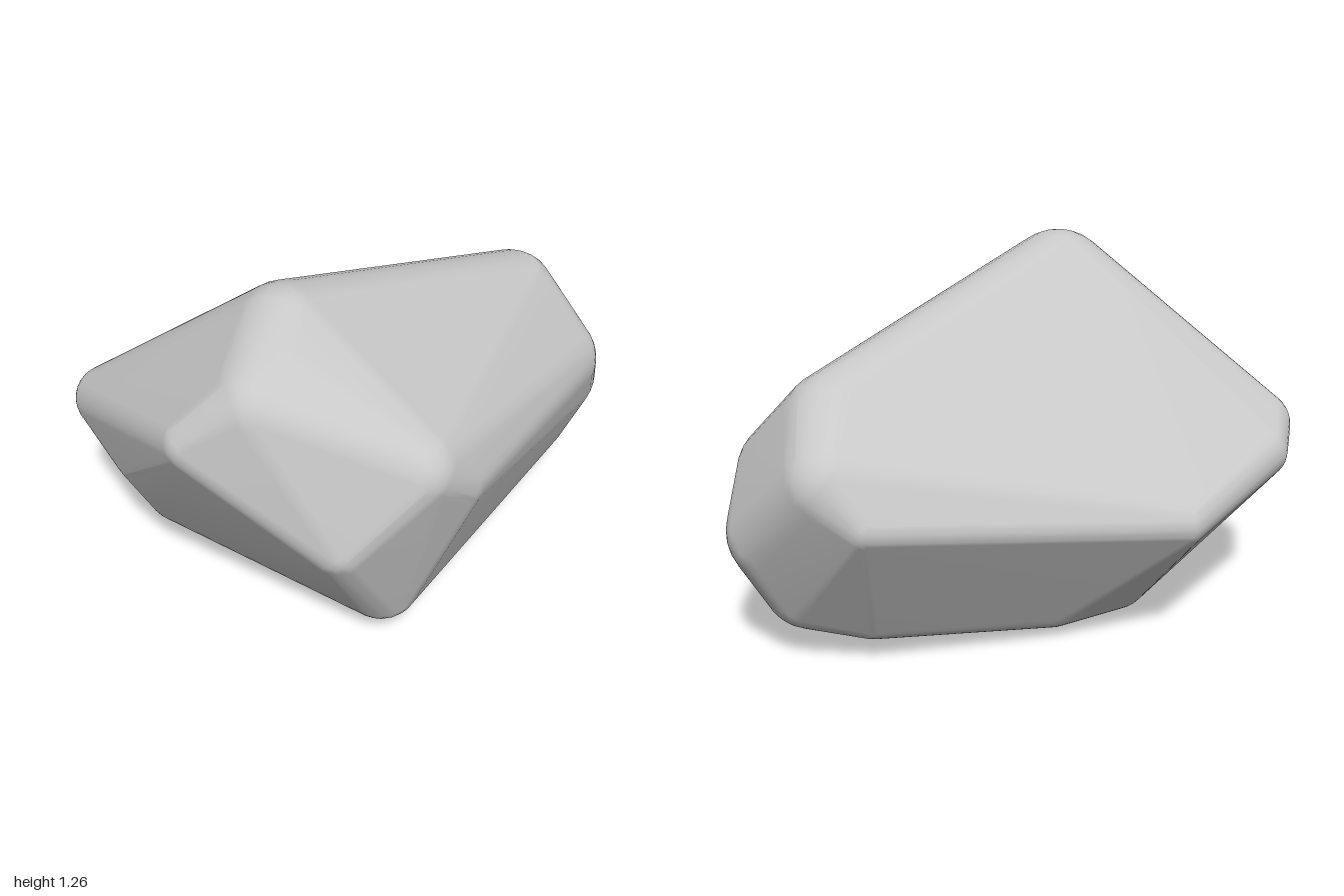
import * as THREE from 'three';
import { ConvexGeometry } from 'three/addons/geometries/ConvexGeometry.js';
import { mergeVertices } from 'three/addons/utils/BufferGeometryUtils.js';

// Balls that round the corners of the boulder: [x, y, z, radius]
const CORNERS = [
  // peak and sloping top face
  [-0.28, 1.065, 0.25, 0.2], [-0.32, 0.985, 0.38, 0.22], [-0.4, 1.0, 0.48, 0.16],
  [0.643, 0.778, -0.387, 0.18], [0.7, 0.67, -0.59, 0.15],
  [0.62, 0.57, -0.705, 0.08], [-0.4, 0.46, -0.67, 0.08],
  [-0.82, 0.56, -0.36, 0.1], [-0.88, 0.61, -0.22, 0.12],
  // front faces
  [-0.602, 0.885, 0.468, 0.1], [0.06, 0.82, 0.63, 0.14],
  [0.17, 0.72, 0.55, 0.14], [-0.18, 0.59, 0.66, 0.12],
  // left flank
  [-0.76, 0.47, -0.05, 0.12], [-0.65, 0.295, -0.07, 0.14],
  // right end
  [0.769, 0.59, -0.227, 0.18], [0.82, 0.44, -0.34, 0.18],
  [0.738, 0.254, -0.33, 0.16],
  // underside
  [-0.01, 0.2, 0.45, 0.14], [0.57, 0.145, -0.26, 0.14],
  [0.55, 0.185, -0.41, 0.12], [-0.05, 0.15, -0.4, 0.13],
  [-0.32, 0.13, -0.29, 0.13], [-0.47, 0.15, -0.09, 0.14],
];

// Evenly spread unit directions
function sphereDirections(count) {
  const turn = Math.PI * (3 - Math.sqrt(5));
  return Array.from({ length: count }, (_, i) => {
    const y = 1 - (2 * i + 1) / count;
    const r = Math.sqrt(1 - y * y);
    return new THREE.Vector3(r * Math.cos(i * turn), y, r * Math.sin(i * turn));
  });
}

// Convex skin stretched over the balls, with smooth normals
function roundedHull(balls) {
  const directions = sphereDirections(320);
  const points = balls.flatMap(([x, y, z, radius]) =>
    directions.map((d) => new THREE.Vector3(x, y, z).addScaledVector(d, radius)));
  const hull = new ConvexGeometry(points);
  hull.deleteAttribute('normal');
  const skin = mergeVertices(hull, 1e-5);
  skin.computeVertexNormals();
  return skin;
}

export function createModel() {
  const stone = new THREE.MeshStandardMaterial({ color: 0xc8c8c8 });
  stone.name = 'stone grey';

  const boulder = new THREE.Mesh(roundedHull(CORNERS), stone);
  boulder.name = 'boulder';

  const model = new THREE.Group();
  model.name = 'rock';
  model.add(boulder);
  return model;
}
